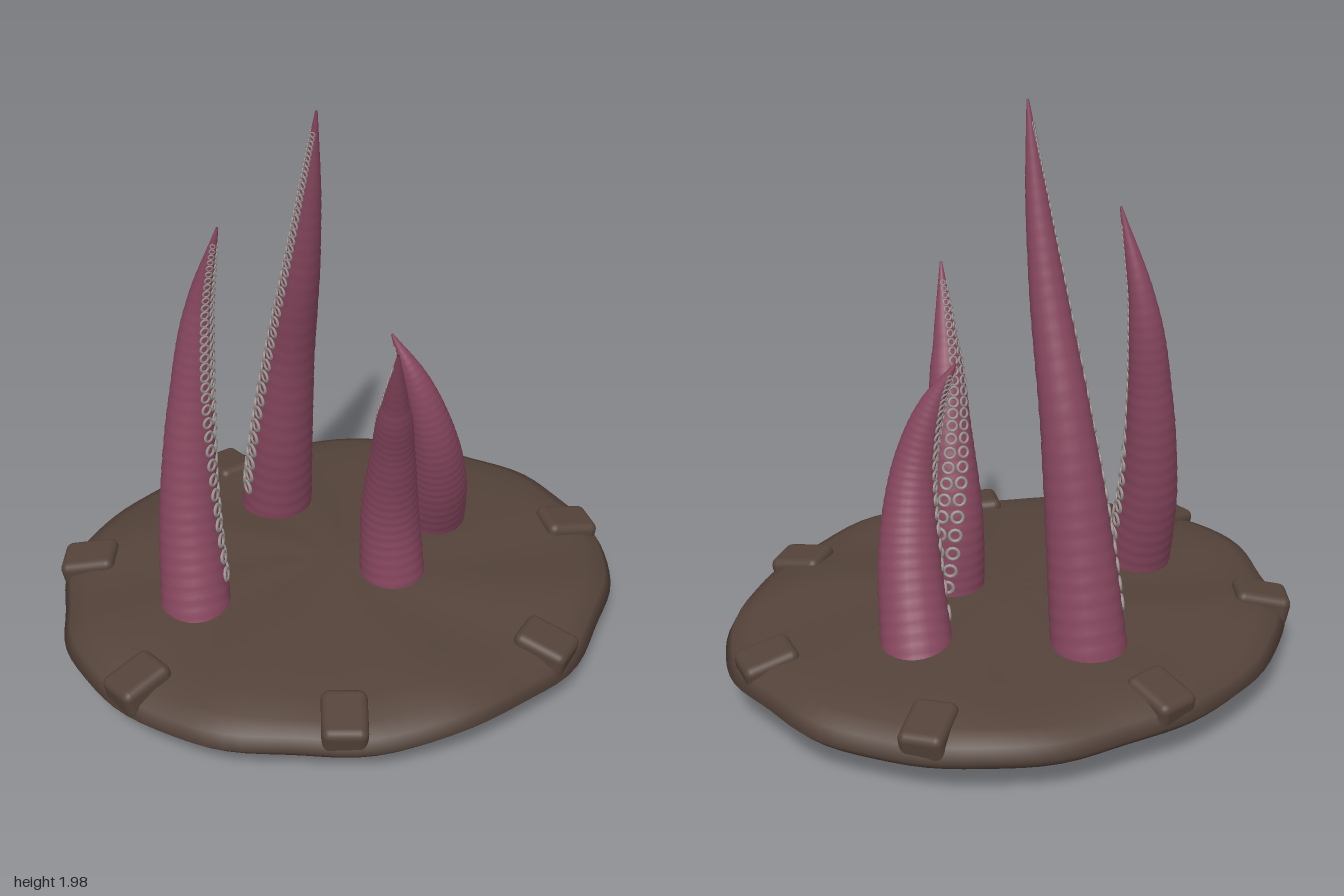
import * as THREE from 'three';
import { mergeVertices, mergeGeometries } from 'three/addons/utils/BufferGeometryUtils.js';
import { RoundedBoxGeometry } from 'three/addons/geometries/RoundedBoxGeometry.js';

const mat = (name, color, side = THREE.FrontSide) => {
  const m = new THREE.MeshStandardMaterial({ color, side });
  m.name = name;
  return m;
};

// Flattened mound of earth with an uneven rim
function moundGeometry() {
  const profile = [[0, 0.02], [0.2, 0.02], [0.42, 0.03], [0.65, 0.055], [0.86, 0.1], [0.96, 0.14], [1, 0.18],
    [0.975, 0.225], [0.91, 0.255], [0.8, 0.272], [0.65, 0.285], [0.42, 0.3], [0.2, 0.305], [0, 0.307]];
  let g = new THREE.LatheGeometry(profile.map(([r, y]) => new THREE.Vector2(r, y)), 96);
  g.deleteAttribute('uv');
  g.deleteAttribute('normal');
  g = mergeVertices(g, 1e-4);
  const p = g.attributes.position;
  for (let i = 0; i < p.count; i++) {
    const x = p.getX(i), y = p.getY(i), z = p.getZ(i);
    const a = Math.atan2(z, x), r = Math.hypot(x, z);
    const k = 1 + r * r * (0.008 * Math.sin(5 * a + 1) + 0.007 * Math.sin(9 * a) + 0.005 * Math.sin(14 * a + 2));
    const lift = 0.008 * Math.sin(6 * x + 1) * Math.cos(7 * z) + 0.008 * r * Math.sin(8 * a + 4 * r);
    p.setXYZ(i, x * 0.965 * k, y + lift, z * 0.83 * k);
  }
  g.computeVertexNormals();
  return g;
}

// Spine rows: x, y, z, radius, sucker direction in degrees (0 = +x, 90 = +z)
const TENTACLES = {
  tallTentacle: [[-0.1, 0.22, -0.42, 0.128, 186], [-0.1, 0.6, -0.335, 0.11, 184], [-0.088, 1, -0.25, 0.084, 182],
    [-0.078, 1.4, -0.128, 0.06, 182], [-0.07, 1.72, -0.05, 0.034, 182], [-0.065, 2, 0.004, 0.004, 182]],
  rightTentacle: [[-0.518, 0.22, 0.07, 0.122, 10], [-0.5, 0.6, -0.05, 0.1, 22], [-0.46, 1, -0.112, 0.073, 48],
    [-0.42, 1.32, -0.118, 0.045, 60], [-0.368, 1.63, -0.05, 0.004, 65]],
  frontTentacle: [[0.165, 0.22, 0.115, 0.115, -35], [0.152, 0.55, 0.108, 0.098, -55], [0.13, 0.85, 0.19, 0.072, -90],
    [0.1, 1.1, 0.29, 0.043, -115], [0.065, 1.36, 0.405, 0.004, -120]],
  leftTentacle: [[0.41, 0.22, -0.19, 0.122, 175], [0.37, 0.55, -0.03, 0.102, 190], [0.32, 0.8, 0.043, 0.074, 205],
    [0.258, 1.01, 0.038, 0.044, 220], [0.19, 1.17, -0.008, 0.004, 230]],
};

function makeTentacle(name, rows, skin, rim) {
  const spine = new THREE.CatmullRomCurve3(rows.map(r => new THREE.Vector3(r[0], r[1], r[2])));
  const shape = new THREE.CatmullRomCurve3(rows.map(r => new THREE.Vector3(r[3], THREE.MathUtils.degToRad(r[4]), 0)));
  const length = spine.getLength();

  // Point and outward direction on the skin at height t and angle phi
  const skinAt = (t, phi, radius) => {
    const tan = spine.getTangent(t);
    const n = new THREE.Vector3(Math.cos(phi), 0, Math.sin(phi));
    n.addScaledVector(tan, -n.dot(tan)).normalize();
    return { n, p: spine.getPoint(t).addScaledVector(n, radius) };
  };

  // Tapering body with faint wrinkles
  const rings = 110, sides = 28, pos = [], idx = [];
  for (let i = 0; i <= rings; i++) {
    const t = i / rings;
    const radius = Math.max(0.003, shape.getPoint(t).x) * (1 + 0.012 * Math.sin(i * 1.9));
    for (let j = 0; j < sides; j++) {
      pos.push(...skinAt(t, (j / sides) * Math.PI * 2, radius).p.toArray());
      if (i === rings) continue;
      const a = i * sides + j, b = i * sides + (j + 1) % sides;
      idx.push(a, a + sides, b, b, a + sides, b + sides);
    }
  }
  const body = new THREE.BufferGeometry();
  body.setAttribute('position', new THREE.Float32BufferAttribute(pos, 3));
  body.setIndex(idx);
  body.computeVertexNormals();

  // Two rows of ring suckers shrinking toward the tip
  const cups = [], forward = new THREE.Vector3(0, 0, 1);
  for (let t = 0.1; t < 0.95;) {
    const { x: radius, y: phi } = shape.getPoint(t);
    const size = 0.006 + radius * 0.14;
    for (const s of [-1, 1]) {
      const { n, p } = skinAt(t, phi + s * (size * 1.3) / radius, radius);
      const cup = new THREE.TorusGeometry(size, size * 0.3, 6, 12);
      cup.applyQuaternion(new THREE.Quaternion().setFromUnitVectors(forward, n));
      cups.push(cup.translate(p.x, p.y, p.z));
    }
    t += size * 2.6 / length;
  }

  const group = new THREE.Group();
  group.name = name;
  const bodyMesh = new THREE.Mesh(body, skin);
  bodyMesh.name = name + 'Body';
  const cupMesh = new THREE.Mesh(mergeGeometries(cups), rim);
  cupMesh.name = name + 'Suckers';
  group.add(bodyMesh, cupMesh);
  return group;
}

export function createModel() {
  const earth = mat('earthBrown', 0x54433a);
  const skin = mat('tentaclePink', 0x86465d, THREE.DoubleSide);
  const rim = mat('suckerGrey', 0x98928e);
  const model = new THREE.Group();
  model.name = 'tentaclesInEarth';

  const mound = new THREE.Mesh(moundGeometry(), earth);
  mound.name = 'earthMound';
  model.add(mound);

  // Clods around the rim, tipped outward
  const clod = new RoundedBoxGeometry(0.19, 0.11, 0.15, 3, 0.028);
  [[-0.2, -0.71], [0.53, -0.58], [-0.8, -0.32], [0.86, -0.01], [-0.78, 0.34], [-0.2, 0.71], [0.54, 0.57]]
    .forEach(([x, z], i) => {
      const m = new THREE.Mesh(clod, earth);
      m.name = 'clod' + (i + 1);
      m.position.set(x, 0.228, z);
      m.rotation.set(0.06 * Math.sin(i * 2), -Math.atan2(z, x), -0.2, 'YXZ');
      model.add(m);
    });

  for (const [name, rows] of Object.entries(TENTACLES)) model.add(makeTentacle(name, rows, skin, rim));
  return model;
}
